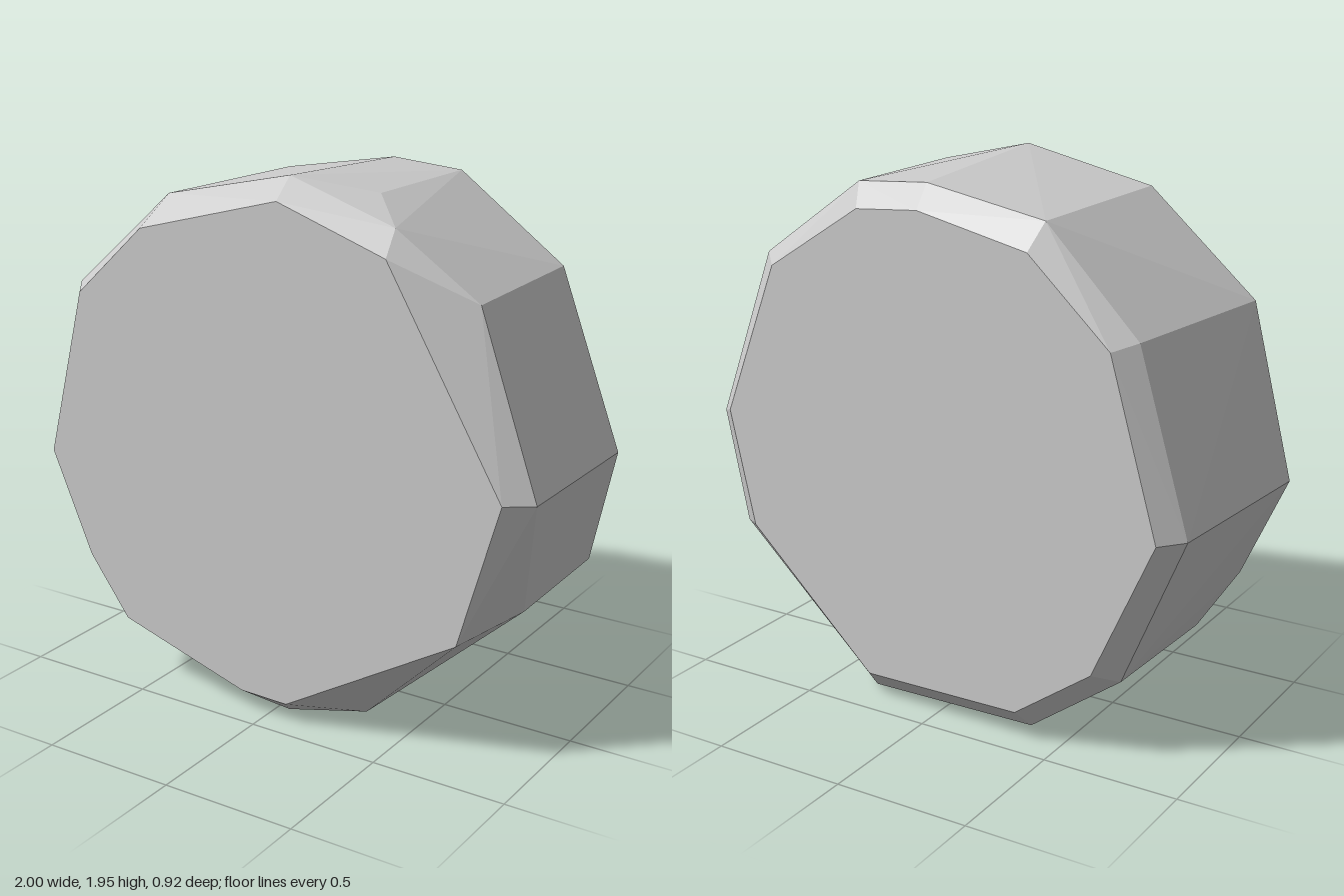
import * as THREE from 'three';
import { ConvexGeometry } from 'three/addons/geometries/ConvexGeometry.js';

// Turns a ring of [x, y] corners into points, with z given by a rule of x
const ring = (corners, zOf) => corners.map(([x, y]) => new THREE.Vector3(x, y, zOf(x)));

export function createModel() {
  const group = new THREE.Group();
  group.name = 'stoneDisc';

  // Flat front face
  const frontFace = ring([
    [0.08, 1.88], [0.49, 1.74], [0.92, 1.0], [0.77, 0.48], [0.1, 0.085], [-0.09, 0.09],
    [-0.6, 0.25], [-0.76, 0.47], [-0.92, 0.85], [-0.76, 1.47], [-0.48, 1.73],
  ], (x) => 0.44 - 0.012 * x);

  // Outer edge of the front bevel
  const frontRim = ring([
    [0.07, 1.95], [0.47, 1.82], [1.0, 0.99], [0.05, 0.01], [-0.6, 0.17],
    [-0.83, 0.47], [-1.0, 0.85], [-0.84, 1.48], [-0.43, 1.84],
  ], () => 0.342);

  // Corners chipped back from the front rim
  const chips = [
    [0.33, 1.895, 0.2], [0.75, 1.595, 0.28], [0.67, 1.61, 0.33], [0.9, 0.55, 0.2],
    [0.29, 0.005, 0.2], [-0.37, 0.03, 0.15], [-0.73, 0.29, 0.2],
  ].map((p) => new THREE.Vector3(...p));

  // Outer edge of the back bevel
  const backRim = ring([
    [0.05, 1.91], [0.33, 1.89], [0.74, 1.6], [0.98, 0.97], [0.89, 0.55], [0.3, 0.02],
    [-0.37, 0.04], [-0.72, 0.3], [-0.95, 0.85], [-0.76, 1.48], [-0.41, 1.83],
  ], (x) => -0.355 + 0.025 * x);

  // Flat back face, slightly tilted
  const backFace = ring([
    [0.04, 1.83], [0.29, 1.81], [0.67, 1.57], [0.9, 1.0], [0.8, 0.57], [0.28, 0.1],
    [-0.35, 0.12], [-0.65, 0.34], [-0.88, 0.85], [-0.7, 1.46], [-0.39, 1.74],
  ], (x) => -0.434 + 0.036 * x);

  // Faceted stone wrapped around all the rings
  const stone = new THREE.Mesh(
    new ConvexGeometry([...frontFace, ...frontRim, ...chips, ...backRim, ...backFace]),
    new THREE.MeshStandardMaterial({ color: 0xcccccc, flatShading: true }),
  );
  stone.name = 'stone';
  group.add(stone);
  return group;
}
